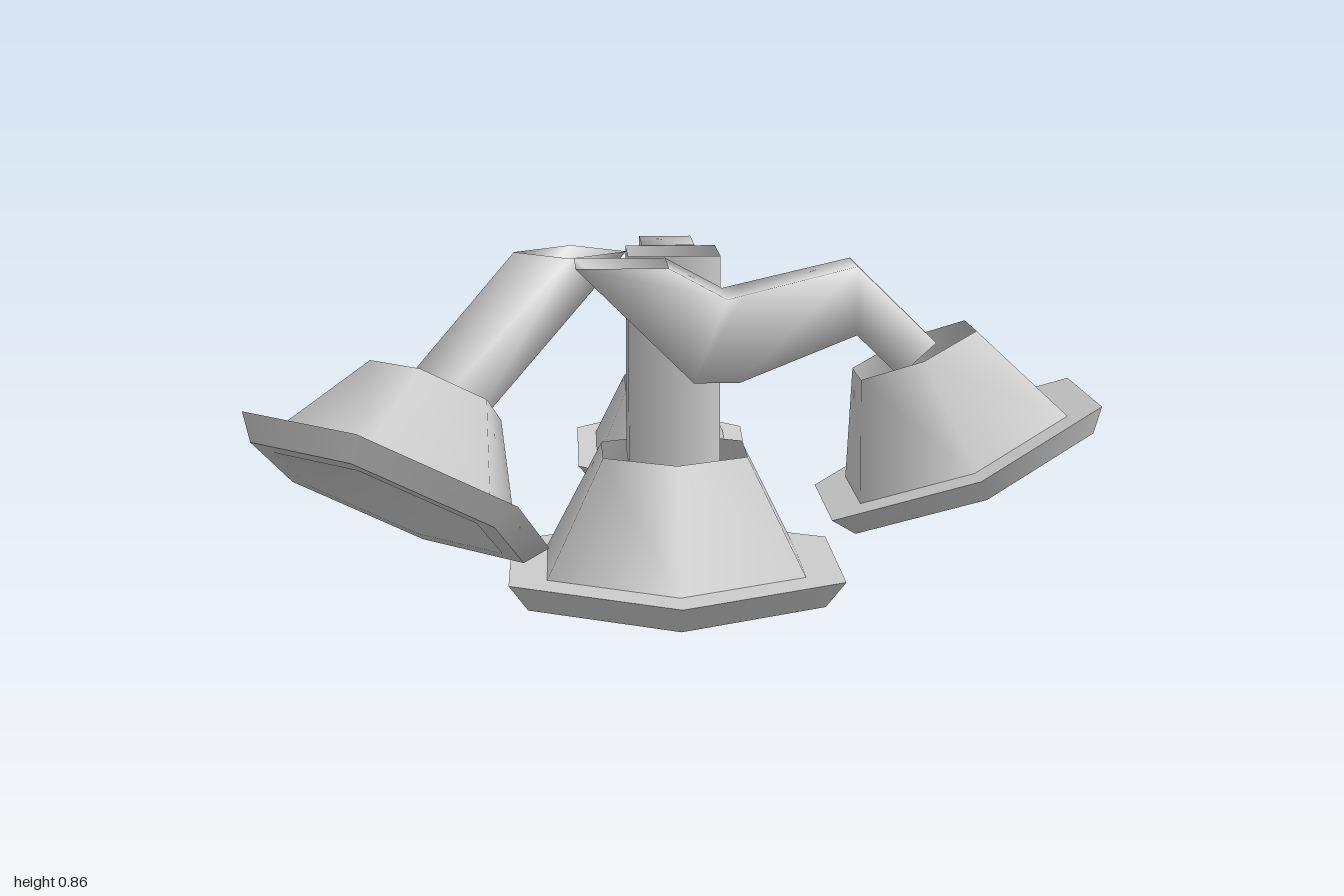
import * as THREE from 'three';
import { mergeGeometries } from 'three/addons/utils/BufferGeometryUtils.js';

const grey = new THREE.MeshStandardMaterial({ color: 0xcccccc, side: THREE.DoubleSide });
const UP = new THREE.Vector3(0, 1, 0);

// Six-sided bell, open at the top, closed by a shallow cone underneath;
// its origin is the centre of the widest rim ring
const BELL = [[0, 0.1], [0.36, -0.07], [0.43, -0.07], [0.485, 0], [0.375, 0], [0.21, 0.29]];

function bell(name, radius, height, position, axis = [0, 1, 0], turn = 0) {
  const k = radius / 0.485, h = height / 0.29;
  const points = BELL.map(([r, y]) => new THREE.Vector2(r * k, y * (y > 0 ? h : k)));
  // One lathe per band keeps the rings crisp and the sides smooth
  const bands = points.slice(1).map((p, i) => new THREE.LatheGeometry([points[i], p], 6));
  const mesh = new THREE.Mesh(mergeGeometries(bands), grey);
  mesh.name = name;
  mesh.position.set(...position);
  mesh.quaternion.setFromUnitVectors(UP, new THREE.Vector3(...axis).normalize())
    .multiply(new THREE.Quaternion().setFromAxisAngle(UP, turn));
  return mesh;
}

// Open square pipe in a vertical plane through origin along heading.
// Each ring is [top distance, top height, bottom distance, bottom height, half width].
function pipe(name, origin, heading, rings) {
  const d = new THREE.Vector3(...heading).normalize();
  const side = new THREE.Vector3().crossVectors(d, UP);
  const pos = [], index = [];
  rings.forEach(([ts, ty, bs, by, w], i) => {
    const corners = [[ts, ty, -w], [ts, ty, w], [bs, by, w], [bs, by, -w]];
    corners.forEach(([s, y, v], j) => {
      const p = new THREE.Vector3(...origin)
        .addScaledVector(d, s).addScaledVector(UP, y).addScaledVector(side, v);
      pos.push(p.x, p.y, p.z);
      if (i > 0) {
        const k = (j + 1) % 4, lo = (i - 1) * 4, hi = i * 4;
        index.push(lo + j, lo + k, hi + j, lo + k, hi + k, hi + j);
      }
    });
  });
  const geo = new THREE.BufferGeometry();
  geo.setAttribute('position', new THREE.Float32BufferAttribute(pos, 3));
  geo.setIndex(index);
  geo.computeVertexNormals();
  const mesh = new THREE.Mesh(geo, grey);
  mesh.name = name;
  return mesh;
}

export function createModel() {
  const model = new THREE.Group();
  model.name = 'bellPipes';

  // Central upright square pipe standing in the largest bell
  const column = new THREE.Mesh(new THREE.CylinderGeometry(0.16, 0.16, 0.525, 4, 1, true), grey);
  column.name = 'centralPipe';
  column.position.set(0.005, 0.6025, 0.026);
  column.rotation.y = Math.PI / 4;
  model.add(column, bell('baseBell', 0.48, 0.29, [0.008, 0.07, 0.026]));

  // Left arm: dips, rises and drops into its bell
  model.add(
    pipe('leftPipe', [0, 0, 0.27], [1, 0, 0], [
      [-0.02, 0.865, -0.24, 0.865, 0.103], [0.12, 0.79, 0.04, 0.59, 0.103], [0.16, 0.8, 0.15, 0.59, 0.1],
      [0.43, 0.865, 0.43, 0.7, 0.085], [0.62, 0.68, 0.533, 0.6, 0.085],
    ]),
    bell('leftBell', 0.398, 0.262, [0.68, 0.41, 0.275], [-0.39, 0.92, 0]),
  );

  // Right arm: runs straight down to a bell tilted towards the front corner
  model.add(
    pipe('rightPipe', [-0.25, 0, 0.035], [-1, 0, 1], [
      [0.1, 0.865, -0.1, 0.865, 0.097], [0.57, 0.525, 0.44, 0.46, 0.078],
    ]),
    bell('rightBell', 0.402, 0.235, [-0.658, 0.375, 0.445], [0.37, 0.85, -0.37], Math.PI / 4),
  );

  // Back arm: leaves the column level and bends down to the smallest bell
  model.add(
    pipe('backPipe', [0, 0, 0], [0, 0, -1], [
      [0.09, 0.865, 0.09, 0.73, 0.067], [0.3, 0.865, 0.3, 0.73, 0.067],
      [0.5, 0.66, 0.385, 0.605, 0.067], [0.59, 0.4, 0.46, 0.41, 0.067],
    ]),
    bell('backBell', 0.265, 0.19, [0, 0.255, -0.54], [0, 0.977, 0.211]),
  );

  return model;
}
